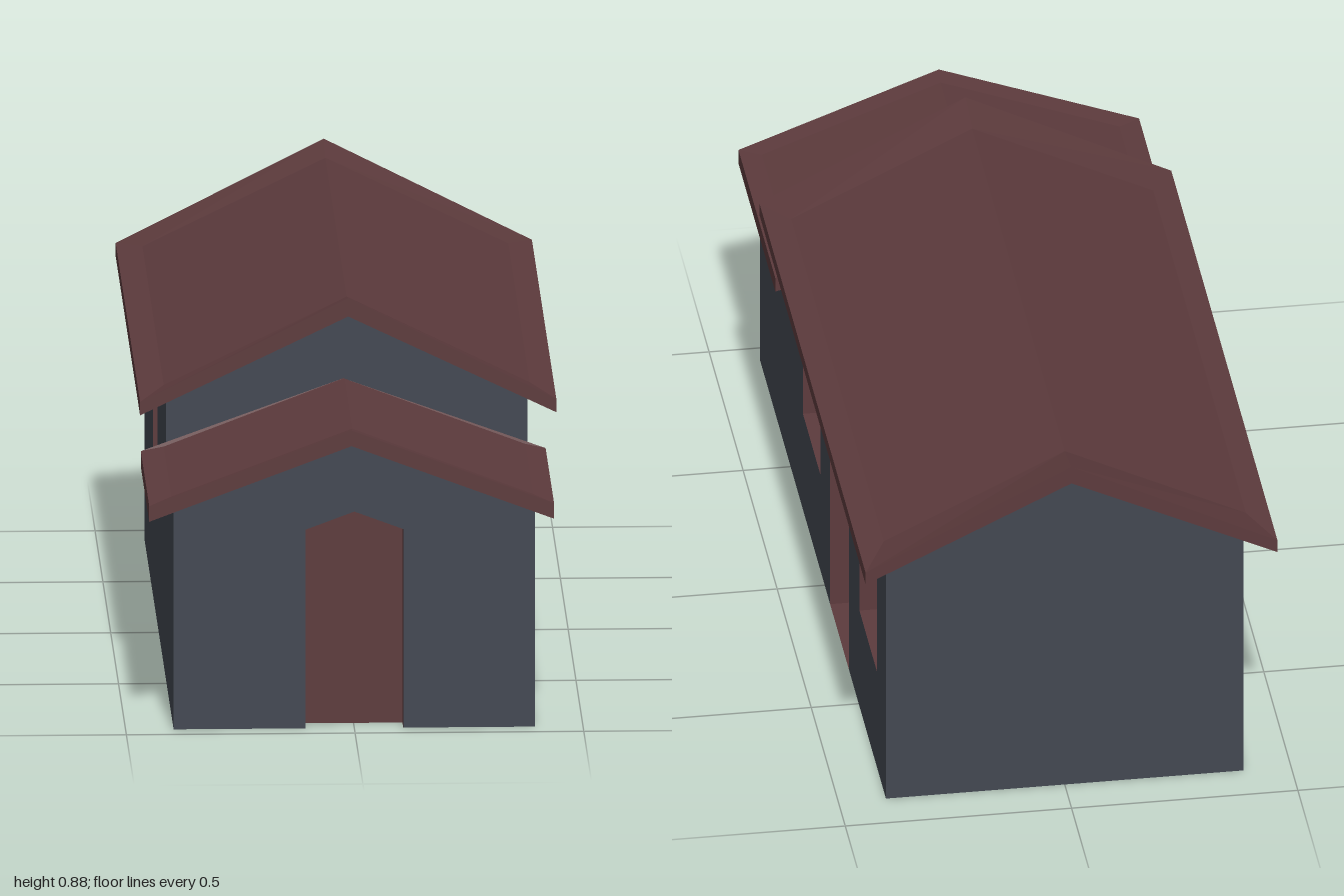
import * as THREE from 'three';

const wallMat = new THREE.MeshStandardMaterial({ color: 0x434852, flatShading: true, side: THREE.DoubleSide });
const redMat = new THREE.MeshStandardMaterial({ color: 0x5d3b3d, flatShading: true, side: THREE.DoubleSide });

const W = 0.395, FRONT = 0.95, STEP = 0.46, BACK = -0.9;   // half width and wall planes
const EAVE = 0.625, RIDGE = 0.82, P_EAVE = 0.487, P_RIDGE = 0.637;

const vecs = (pts) => pts.map(([x, y]) => new THREE.Vector2(x, y));

function add(parent, name, geometry, material) {
  const mesh = new THREE.Mesh(geometry, material);
  mesh.name = name;
  parent.add(mesh);
  return mesh;
}

// Non-indexed geometry from four-cornered faces
function quads(faces) {
  const pos = [];
  for (const [a, b, c, d] of faces) pos.push(...a, ...b, ...c, ...a, ...c, ...d);
  const g = new THREE.BufferGeometry();
  g.setAttribute('position', new THREE.Float32BufferAttribute(pos, 3));
  g.computeVertexNormals();
  return g;
}

// Flat wall facing local +z, with optional holes
function wall(parent, name, outline, holes = []) {
  const shape = new THREE.Shape(vecs(outline));
  for (const h of holes) shape.holes.push(new THREE.Path(vecs(h)));
  add(parent, name, new THREE.ShapeGeometry(shape), wallMat);
}

// Recessed panel with its reveals; a counter-clockwise outline whose first edge is the sill
function recess(parent, name, pts, depth, sill = true) {
  const faces = [];
  pts.forEach(([x, y], i) => {
    if (i === 0 && !sill) return;
    const [u, v] = pts[(i + 1) % pts.length];
    faces.push([[x, y, 0], [u, v, 0], [u, v, -depth], [x, y, -depth]]);
  });
  add(parent, name + 'Reveal', quads(faces), redMat);
  const panel = new THREE.ShapeGeometry(new THREE.Shape(vecs(pts)));
  add(parent, name + 'Panel', panel.translate(0, 0, -depth), redMat);
}

// Gabled roof lofted through rings, from the upper slopes out to the fascia and in under the eaves
function roof(parent, name, specs) {
  const rings = specs.map(([xl, xr, eave, ridgeF, ridgeB, zf, zb]) => {
    const xm = (xl + xr) / 2;
    return [[xl, eave, zf], [xm, ridgeF, zf], [xr, eave, zf], [xr, eave, zb], [xm, ridgeB, zb], [xl, eave, zb]];
  });
  const t = rings[0];
  const faces = [[t[0], t[1], t[4], t[5]], [t[1], t[2], t[3], t[4]]];
  for (let r = 0; r < rings.length - 1; r++) {
    const a = rings[r], b = rings[r + 1];
    for (let i = 0; i < 6; i++) {
      const j = (i + 1) % 6;
      faces.push([b[i], b[j], a[j], a[i]]);
    }
  }
  add(parent, name, quads(faces), redMat);
}

// Group whose local +z is the outward direction of a facade
function facade(parent, name, angle, x, z) {
  const g = new THREE.Group();
  g.name = name;
  g.rotation.y = angle;
  g.position.set(x, 0, z);
  parent.add(g);
  return g;
}

const rect = (a, b, y0, y1) => [[a, y0], [b, y0], [b, y1], [a, y1]];

export function createModel() {
  const house = new THREE.Group();
  house.name = 'house';

  // Front gable with a pointed door
  const front = facade(house, 'frontFacade', 0, 0, FRONT);
  const d = 0.107;
  wall(front, 'frontWall', [[-W, 0], [-d, 0], [-d, 0.445], [0, 0.485], [d, 0.445], [d, 0],
    [W, 0], [W, P_EAVE], [0, P_RIDGE], [-W, P_EAVE]]);
  recess(front, 'frontDoor', [[-d, 0], [d, 0], [d, 0.445], [0, 0.485], [-d, 0.445]], 0.05, false);

  // Upper gable above the porch
  const upper = facade(house, 'upperFacade', 0, 0, STEP);
  wall(upper, 'upperGable', [[-W, P_EAVE], [0, P_RIDGE], [W, P_EAVE], [W, EAVE], [0, RIDGE], [-W, EAVE]]);

  // Back gable
  const back = facade(house, 'backFacade', Math.PI, 0, BACK);
  wall(back, 'backWall', [[-W, 0], [W, 0], [W, EAVE], [0, RIDGE], [-W, EAVE]]);

  // Left side: door between two windows (local x runs towards -z)
  const left = facade(house, 'leftFacade', Math.PI / 2, W, 0);
  const windows = [rect(-0.32, -0.06, 0.245, 0.49), rect(0.51, 0.765, 0.245, 0.49)];
  wall(left, 'leftWall', [[-FRONT, 0], [0.08, 0], [0.08, 0.54], [0.355, 0.54], [0.355, 0], [-BACK, 0],
    [-BACK, EAVE], [-STEP, EAVE], [-STEP, P_EAVE], [-FRONT, P_EAVE]], windows);
  windows.forEach((w, i) => recess(left, 'leftWindow' + (i + 1), w, 0.045));
  recess(left, 'sideDoor', rect(0.08, 0.355, 0, 0.54), 0.05);

  // Right side: one window (local x runs towards +z)
  const right = facade(house, 'rightFacade', -Math.PI / 2, -W, 0);
  const win = rect(-0.37, -0.065, 0.25, 0.5);
  wall(right, 'rightWall', [[BACK, 0], [FRONT, 0], [FRONT, P_EAVE], [STEP, P_EAVE], [STEP, EAVE], [BACK, EAVE]], [win]);
  recess(right, 'rightWindow', win, 0.045);

  // Roofs: left x, right x, eave y, front ridge y, back ridge y, front z, back z
  roof(house, 'mainRoof', [
    [-0.4, 0.4, 0.66, 0.855, 0.855, STEP, BACK],
    [-0.455, 0.455, 0.645, 0.875, 0.875, 0.56, -1],
    [-0.455, 0.455, 0.615, 0.833, 0.833, 0.56, -1],
    [-W, W, EAVE, RIDGE, RIDGE, STEP, BACK],
  ]);
  roof(house, 'porchRoof', [
    [-0.4, 0.39, 0.523, 0.672, 0.672, 0.955, 0.465],
    [-0.45, 0.435, 0.512, 0.678, 0.672, 1, 0.46],
    [-0.45, 0.435, 0.477, 0.643, 0.64, 1, 0.46],
    [-W, W, P_EAVE, P_RIDGE, P_RIDGE, FRONT, 0.46],
  ]);

  return house;
}
